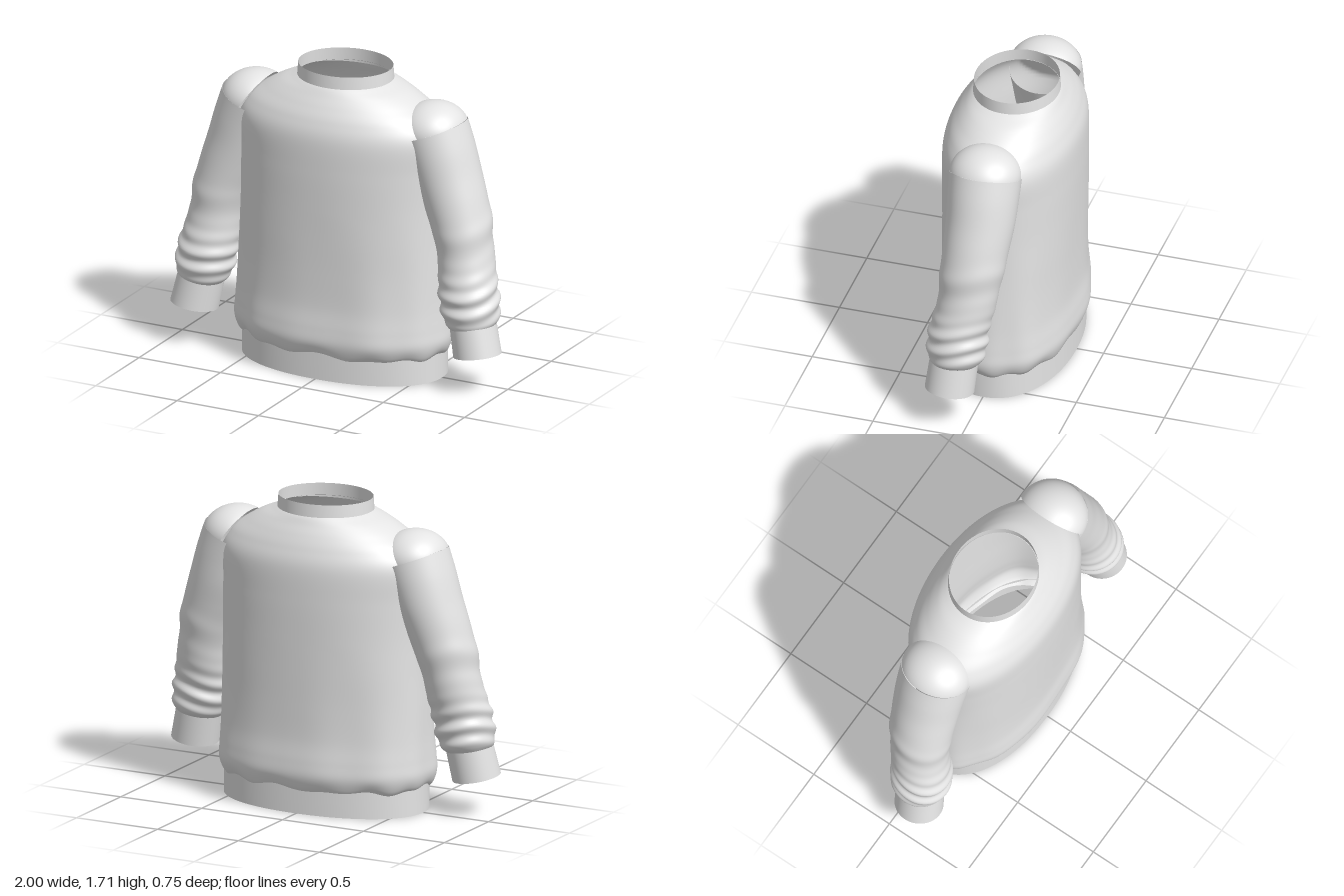
import * as THREE from 'three';

const TAU = Math.PI * 2;

// Smoothly resamples rows of section values with a Catmull-Rom rule.
function resample(keys, count) {
  const rows = [];
  for (let i = 0; i <= count; i++) {
    const f = (i / count) * (keys.length - 1);
    const k = Math.min(Math.floor(f), keys.length - 2);
    const t = f - k;
    const p = [k - 1, k, k + 1, k + 2].map(
      (n) => keys[Math.max(0, Math.min(keys.length - 1, n))]);
    rows.push(p[1].map((_, c) => {
      const [a, b, d, e] = p.map((row) => row[c]);
      return b + 0.5 * t * (d - a + t * (2 * a - 5 * b + 4 * d - e + t * (3 * (b - d) + e - a)));
    }));
  }
  return rows;
}

// Skins closed rings listed from top to bottom; side -1 mirrors across x.
function loft(rows, segments, pointAt, side = 1) {
  const positions = [], index = [];
  rows.forEach((row) => {
    for (let j = 0; j < segments; j++) {
      const [x, y, z] = pointAt(row, (j / segments) * TAU);
      positions.push(side * x, y, z);
    }
  });
  for (let i = 0; i < rows.length - 1; i++) {
    for (let j = 0; j < segments; j++) {
      const k = (j + 1) % segments;
      const a = i * segments + j, b = i * segments + k;
      const c = a + segments, d = b + segments;
      if (side > 0) index.push(a, b, c, b, d, c);
      else index.push(a, c, b, b, c, d);
    }
  }
  const geometry = new THREE.BufferGeometry();
  geometry.setAttribute('position', new THREE.Float32BufferAttribute(positions, 3));
  geometry.setIndex(index);
  geometry.computeVertexNormals();
  return geometry;
}

const power = (v, n) => Math.sign(v) * Math.abs(v) ** (2 / n);
const bump = (v, centre, width) => Math.exp(-(((v - centre) / width) ** 2));

// Torso sections: y, half width, half depth, z centre, squareness
const TORSO = [
  [1.645, 0.268, 0.233, -0.008, 2], [1.63, 0.305, 0.246, -0.007, 2],
  [1.6, 0.38, 0.266, -0.005, 2], [1.55, 0.468, 0.299, -0.003, 2],
  [1.48, 0.565, 0.335, 0, 2], [1.38, 0.618, 0.363, 0, 2.05],
  [1.2, 0.608, 0.367, 0, 2.1], [1.0, 0.602, 0.364, 0, 2.15],
  [0.8, 0.604, 0.36, 0, 2.2], [0.6, 0.612, 0.357, 0, 2.2],
  [0.42, 0.618, 0.358, 0, 2.25], [0.3, 0.625, 0.37, 0, 2.25],
  [0.22, 0.628, 0.374, 0, 2.25], [0.16, 0.61, 0.358, 0, 2.2],
  [0.12, 0.575, 0.335, 0, 2.15],
];

function torsoPoint([y, rx, rz, cz, n], a) {
  // soft vertical folds that gather above the hem
  const low = THREE.MathUtils.clamp((0.95 - y) / 0.7, 0, 1);
  const wave = Math.sin(a * 7 + 0.6) + 0.7 * Math.sin(a * 11 + 2);
  const fold = 1 + 0.009 * low * wave;
  const drop = 0.008 * bump(y, 0.13, 0.07) * (Math.sin(a * 13) + 0.7 * Math.sin(a * 8 + 1));
  // the shoulders are cut off flat along the slanting armholes
  const armhole = 0.552 - 0.63 * (y - 1.428);
  const x = THREE.MathUtils.clamp(rx * fold * power(Math.cos(a), n), -armhole, armhole);
  return [x, y + drop, cz + rz * fold * power(Math.sin(a), n)];
}

// Sleeve sections: x, y, z centre, half width, half depth, tilt
const SLEEVE = [
  [0.548, 1.428, 0, 0.19, 0.2, 0.36], [0.592, 1.31, 0, 0.187, 0.196, 0.3],
  [0.635, 1.18, 0.002, 0.182, 0.19, 0.25], [0.682, 1.05, 0.01, 0.175, 0.182, 0.2],
  [0.726, 0.92, 0.02, 0.164, 0.174, 0.16], [0.754, 0.8, 0.03, 0.156, 0.166, 0.14],
  [0.772, 0.69, 0.045, 0.157, 0.162, 0.13], [0.795, 0.57, 0.072, 0.163, 0.163, 0.13],
  [0.815, 0.46, 0.08, 0.16, 0.163, 0.12], [0.825, 0.4, 0.083, 0.147, 0.152, 0.11],
  [0.832, 0.365, 0.088, 0.122, 0.126, 0.11],
];

function sleevePoint([cx, cy, cz, rx, rz, tilt], a) {
  // slanting wrinkles pushed up above the cuff, and one elbow fold
  const slant = cy + 0.028 * Math.sin(a - 0.4) + 0.012 * Math.sin(2 * a);
  const wrinkles = 0.055 * bump(cy, 0.51, 0.12) * Math.sin((slant / 0.095) * TAU + 1.2);
  const elbow = 0.04 * bump(slant, 0.9, 0.05) - 0.03 * bump(slant, 0.8, 0.05);
  const r = 1 + wrinkles + elbow * (0.6 + 0.4 * Math.cos(a));
  const u = rx * r * Math.cos(a);
  return [cx + u * Math.cos(tilt), cy + u * Math.sin(tilt), cz + rz * r * Math.sin(a)];
}

const cuffPoint = ([cx, cy, cz, rx, rz, tilt], a) => [
  cx + rx * Math.cos(a) * Math.cos(tilt),
  cy + rx * Math.cos(a) * Math.sin(tilt) + 0.01 * Math.sin(a),
  cz + rz * Math.sin(a),
];

const bandPoint = ([y, rx, rz, cz, n, dip], a) => [
  rx * power(Math.cos(a), n), y - dip * Math.sin(a) ** 2, cz + rz * power(Math.sin(a), n),
];

export function createModel() {
  const model = new THREE.Group();
  model.name = 'sweatshirt';
  const fabric = new THREE.MeshStandardMaterial({ color: 0xe4e4e4, side: THREE.DoubleSide });
  fabric.name = 'light grey fabric';

  const add = (parent, name, geometry) => {
    const mesh = new THREE.Mesh(geometry, fabric);
    mesh.name = name;
    parent.add(mesh);
    return mesh;
  };

  add(model, 'torso', loft(resample(TORSO, 112), 160, torsoPoint));

  // Open bands at the neck and the waist
  add(model, 'collar', loft(
    [[1.713, 0.266, 0.23, -0.008, 2, 0], [1.645, 0.271, 0.236, -0.008, 2, 0.014]], 96, bandPoint));
  add(model, 'hem', loft(
    [[0.16, 0.597, 0.347, 0, 2.15, 0], [0, 0.598, 0.348, 0, 2.15, 0]], 128, bandPoint));

  for (const side of [1, -1]) {
    const arm = new THREE.Group();
    arm.name = side > 0 ? 'leftArm' : 'rightArm';
    model.add(arm);

    add(arm, 'sleeve', loft(resample(SLEEVE, 130), 64, sleevePoint, side));
    add(arm, 'cuff', loft(
      [[0.83, 0.4, 0.088, 0.128, 0.132, 0.12], [0.869, 0.212, 0.105, 0.132, 0.135, 0.15]],
      64, cuffPoint, side));

    // Rounded wedge that fills the gap between sleeve top and armhole
    const from = 0.427, to = 2.05;
    const wedge = new THREE.SphereGeometry(
      1, 32, 32, side > 0 ? Math.PI - to : from, to - from).rotateX(-Math.PI / 2);
    const cap = add(arm, 'shoulderCap', wedge);
    cap.scale.set(0.19, 0.157, 0.2);
    cap.position.set(side * 0.548, 1.428, 0);
  }
  return model;
}
